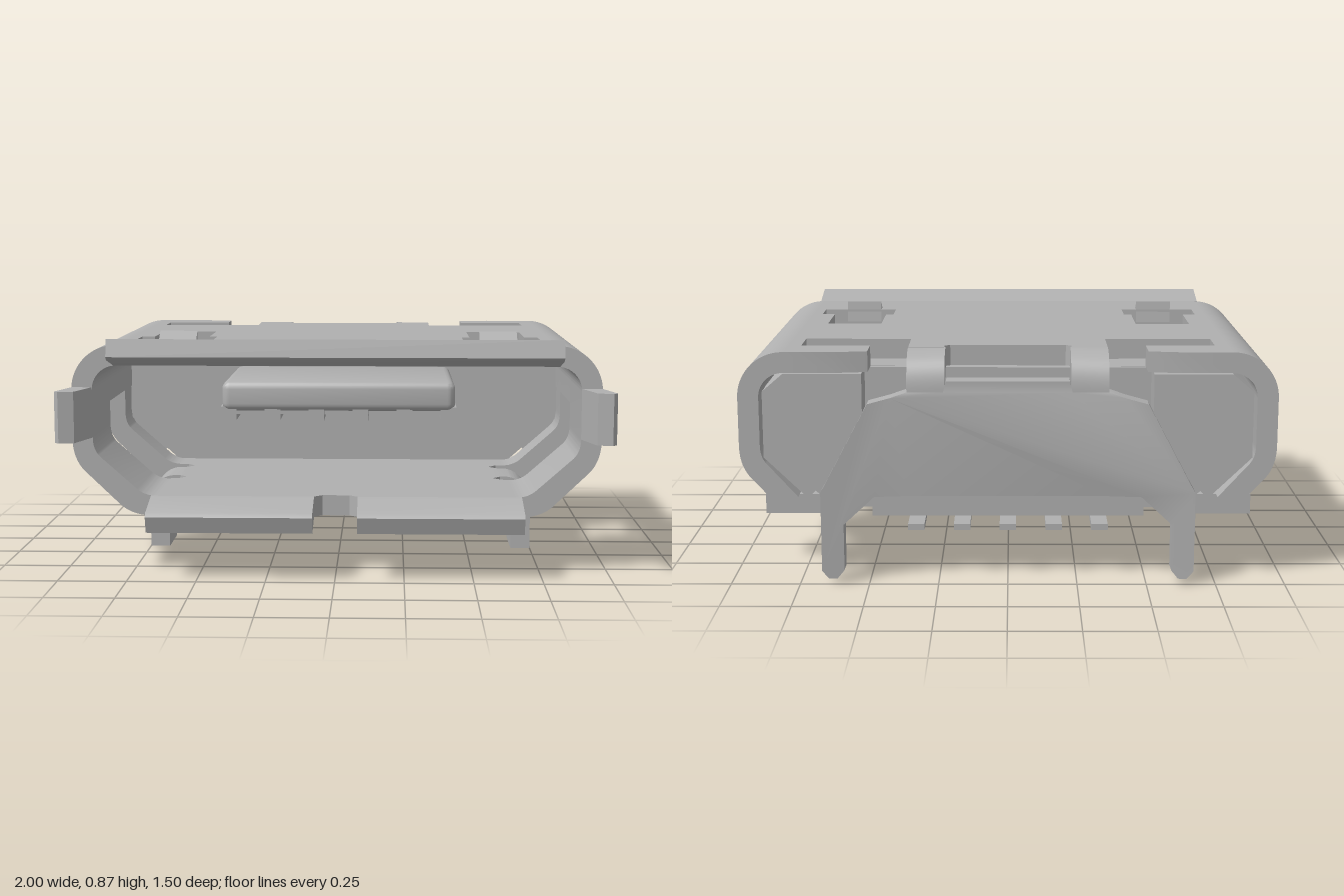
import * as THREE from 'three';
import { toCreasedNormals } from 'three/addons/utils/BufferGeometryUtils.js';
import { RoundedBoxGeometry } from 'three/addons/geometries/RoundedBoxGeometry.js';

const metal = new THREE.MeshStandardMaterial({ color: 0xb0b0b0 });
metal.name = 'grey metal';
const T = 0.075; // sheet thickness

const poly = (pts) => new THREE.Shape(pts.map(([x, y]) => new THREE.Vector2(x, y)));
const extrude = (shape, depth) =>
  new THREE.ExtrudeGeometry(shape, { depth, bevelEnabled: false, curveSegments: 12 });
// Profile in x,y running from z0 to z1
const alongZ = (shape, z0, z1) => extrude(shape, z1 - z0).translate(0, 0, z0);
// Profile in z,y running from x0 to x1
const alongX = (shape, x0, x1) => extrude(shape, x1 - x0).rotateY(-Math.PI / 2).translate(x1, 0, 0);
// Outline in x,z with holes, running from y0 to y1
function alongY(pts, y0, y1, holes = []) {
  const flip = (list) => list.map(([x, z]) => [x, -z]);
  const shape = poly(flip(pts));
  holes.forEach((h) => shape.holes.push(poly(flip(h))));
  return extrude(shape, y1 - y0).rotateX(-Math.PI / 2).translate(0, y0, 0);
}
const box = (x0, x1, y0, y1, z0, z1) =>
  new THREE.BoxGeometry(x1 - x0, y1 - y0, z1 - z0)
    .translate((x0 + x1) / 2, (y0 + y1) / 2, (z0 + z1) / 2);
// Full symmetric outline from its right half
const mirrored = (half) => [...half, ...half.map(([x, y]) => [-x, y]).reverse()];

// Bent side wall: 'full' reaches the floor, 'upper' stops over a window, 'rear' is a hook
function wallProfile(kind) {
  const s = new THREE.Shape();
  s.moveTo(0.8, 0.84);
  s.absarc(0.8, 0.675, 0.165, Math.PI / 2, 0, true);
  if (kind === 'upper') {
    s.lineTo(0.965, 0.59);
    s.lineTo(0.89, 0.59);
  } else {
    s.lineTo(0.965, 0.5);
    s.quadraticCurveTo(0.965, 0.42, 0.92, 0.375);
    if (kind === 'full') {
      s.lineTo(0.79, 0.25);
      s.quadraticCurveTo(0.745, 0.21, 0.66, 0.21);
      s.lineTo(0.66, 0.285);
      s.quadraticCurveTo(0.7, 0.285, 0.73, 0.31);
    } else {
      s.lineTo(0.81, 0.255);
      s.lineTo(0.757, 0.31);
    }
    s.lineTo(0.865, 0.43);
    s.quadraticCurveTo(0.89, 0.455, 0.89, 0.5);
  }
  s.lineTo(0.89, 0.675);
  s.absarc(0.8, 0.675, 0.09, 0, Math.PI / 2, false);
  return s;
}

export function createModel() {
  const model = new THREE.Group();
  model.name = 'socketConnector';
  const add = (name, geo, parent = model) => {
    const mesh = new THREE.Mesh(toCreasedNormals(geo, 0.6), metal);
    mesh.name = name;
    parent.add(mesh);
  };
  // Same part on both sides
  const addPair = (name, geo) => {
    for (const side of [1, -1]) {
      const g = new THREE.Group();
      g.name = (side > 0 ? 'left ' : 'right ') + name;
      g.scale.x = side;
      add(name, geo, g);
      model.add(g);
    }
  };

  // Top sheet with T-shaped front openings and rear spring slots
  const slot = (s) => [[0.5, -0.04], [0.71, -0.04], [0.71, 0.21], [0.76, 0.21],
    [0.76, 0.34], [0.47, 0.34], [0.47, 0.21], [0.5, 0.21]].map(([x, z]) => [s * x, z]);
  const topHalf = [[0.8, 0.59], [0.8, -0.69], [0.62, -0.69], [0.5, -0.67], [0.5, -0.55],
    [0.75, -0.55], [0.75, -0.4], [0.36, -0.4], [0.36, -0.585], [0.23, -0.585], [0.23, -0.55], [0.21, -0.535]];
  add('topSheet', alongY(mirrored(topHalf), 0.765, 0.84, [slot(1), slot(-1)]));

  // Side walls, leaving two windows on each side
  for (const [kind, z0, z1] of [['full', 0.21, 0.59], ['upper', -0.15, 0.21], ['full', -0.31, -0.15],
    ['upper', -0.58, -0.31], ['rear', -0.69, -0.58]]) {
    addPair('sideWall', alongZ(wallProfile(kind), z0, z1));
  }

  // Floor sheet, notched at the legs and at the front seam
  const floorHalf = [[0.05, 0.56], [0.08, 0.59], [0.68, 0.59], [0.68, 0.21], [0.63, 0.2], [0.6, 0.165],
    [0.63, 0.13], [0.63, -0.075], [0.6, -0.11], [0.63, -0.15], [0.68, -0.15], [0.68, -0.31],
    [0.6, -0.34], [0.6, -0.46], [0.46, -0.46]];
  add('floorSheet', alongY(mirrored(floorHalf), 0.21, 0.285));

  // Flared lips round the mouth
  add('topLip', alongX(poly([[0.59, 0.84], [0.59, 0.765], [0.735, 0.798], [0.75, 0.81], [0.735, 0.873]]), -0.81, 0.81));
  addPair('bottomLip', alongX(poly([[0.59, 0.285], [0.59, 0.21], [0.73, 0.175], [0.75, 0.235], [0.735, 0.25]]), 0.08, 0.68));
  addPair('sideLip', alongY([[0.89, 0.59], [0.965, 0.59], [1.0, 0.73], [0.985, 0.745], [0.93, 0.735]], 0.5, 0.685));

  // Mounting legs bent down from the floor
  const leg = new THREE.Shape();
  leg.moveTo(0.6, 0.285);
  leg.lineTo(0.66, 0.285);
  leg.absarc(0.65, 0.185, 0.1, Math.PI / 2, 0, true);
  leg.lineTo(0.75, 0);
  leg.lineTo(0.675, 0);
  leg.lineTo(0.675, 0.185);
  leg.quadraticCurveTo(0.675, 0.21, 0.65, 0.21);
  leg.lineTo(0.6, 0.21);
  addPair('mountingLeg', alongZ(leg, -0.075, 0.13));
  addPair('sideFoot', box(0.58, 0.91, 0.185, 0.26, -0.46, -0.36));

  // Latch springs: raised tips in front, curved tongues behind
  addPair('latchTip', alongX(poly([[0.4, 0.835], [0.345, 0.873], [0.335, 0.79], [0.4, 0.79]]), 0.53, 0.67));
  const bulge = new THREE.Shape();
  bulge.moveTo(0.41, 0.766);
  bulge.quadraticCurveTo(0.47, 0.68, 0.555, 0.68);
  bulge.quadraticCurveTo(0.64, 0.68, 0.7, 0.766);
  addPair('latchSpring', alongZ(bulge, -0.55, -0.24));

  // Inner housing block and its rear corner caps
  const housingHalf = [[0.8, 0.764], [0.885, 0.69], [0.885, 0.46], [0.69, 0.285]];
  add('housing', alongZ(poly(mirrored(housingHalf)), -0.57, -0.3));
  add('housingBase', box(-0.5, 0.5, 0.21, 0.4, -0.58, -0.46));
  addPair('cornerCap', alongZ(poly([[0.52, 0.764], [0.8, 0.764], [0.875, 0.7], [0.875, 0.46], [0.72, 0.31], [0.52, 0.5]]), -0.705, -0.57));

  // Contact tongue with ribs, contacts and solder tails
  add('tongue', new RoundedBoxGeometry(0.89, 0.115, 0.62, 3, 0.03).translate(0, 0.62, 0));
  add('contactBed', box(-0.42, 0.42, 0.55, 0.58, -0.3, 0.29));
  for (let i = 0; i < 6; i++) {
    const x = (i - 2.5) * 0.168;
    add('tongueRib', box(x - 0.03, x + 0.03, 0.528, 0.58, -0.3, 0.3));
  }
  const tail = poly([[-0.46, 0.22], [-0.49, 0.185], [-0.51, 0.178], [-0.66, 0.178], [-0.66, 0.2], [-0.51, 0.2], [-0.48, 0.23]]);
  for (let i = -2; i <= 2; i++) {
    add('solderTail', alongX(tail, i * 0.167 - 0.03, i * 0.167 + 0.03));
  }

  // Rear plate with swept wings ending in pointed legs
  const plateHalf = [[0.22, 0.74], [0.23, 0.7], [0.36, 0.7], [0.42, 0.68], [0.5, 0.66], [0.67, 0.34],
    [0.67, 0.05], [0.645, 0.02], [0.615, 0.02], [0.59, 0.05], [0.59, 0.22], [0.48, 0.32], [0.36, 0.32]];
  const plate = alongZ(poly(mirrored(plateHalf)), -0.715, -0.64);
  const p = plate.attributes.position;
  for (let i = 0; i < p.count; i++) {
    p.setZ(i, p.getZ(i) - 0.12 * Math.max(0, Math.abs(p.getX(i)) - 0.36));
  }
  plate.computeVertexNormals();
  add('rearPlate', plate);

  // Straps folding the rear plate over from the top sheet
  const strap = new THREE.Shape();
  strap.moveTo(-0.58, 0.84);
  strap.quadraticCurveTo(-0.715, 0.84, -0.715, 0.69);
  strap.lineTo(-0.64, 0.69);
  strap.quadraticCurveTo(-0.64, 0.765, -0.58, 0.765);
  addPair('rearStrap', alongX(strap, 0.225, 0.36));

  return model;
}
